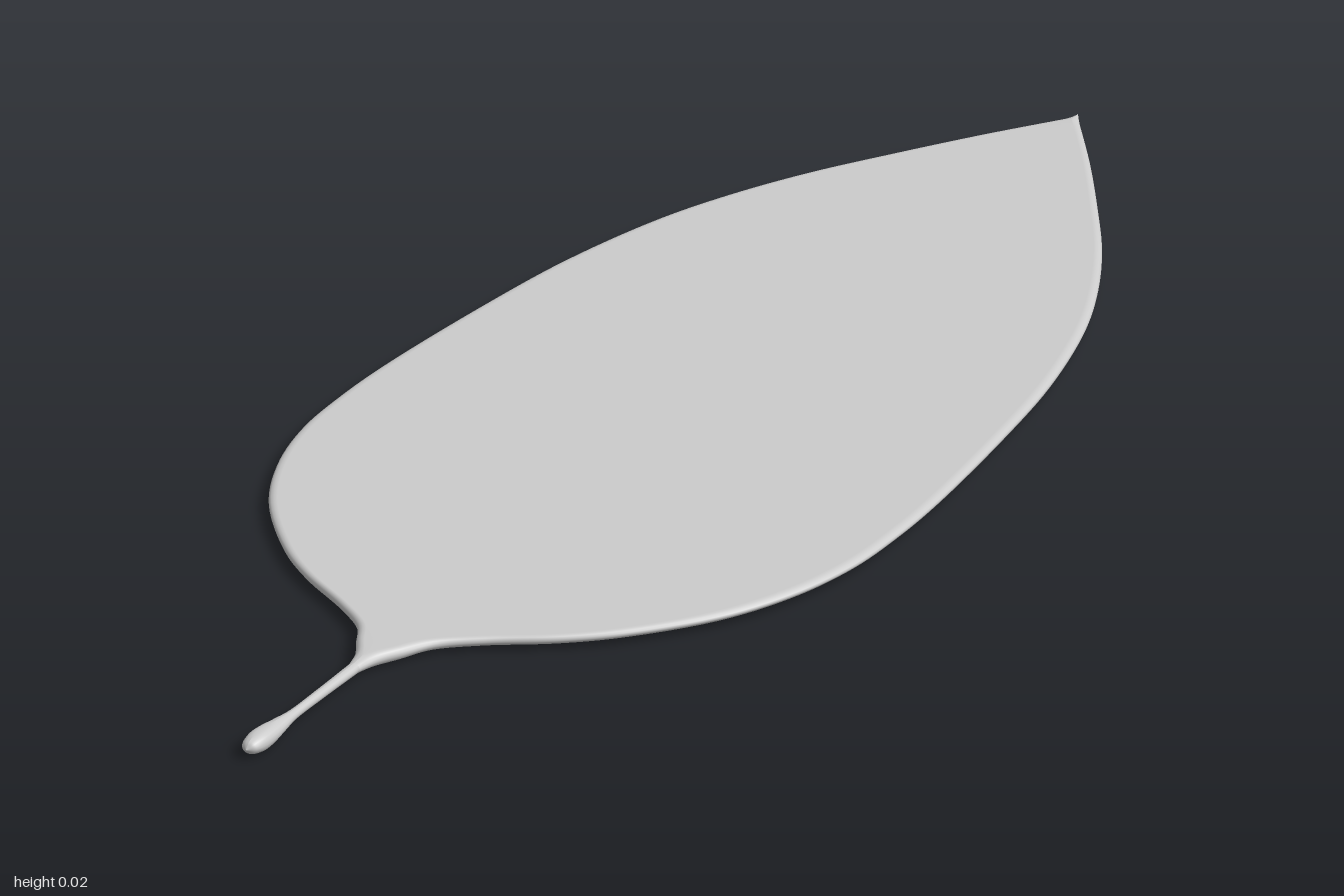
import * as THREE from 'three';

const MID_Y = 0.0125;

// Stations along the leaf: z, half width, half height
const BLADE = [
  [-1, 0, 0.0062], [-0.9, 0.074, 0.0062], [-0.8, 0.142, 0.0062], [-0.7, 0.206, 0.0062],
  [-0.6, 0.258, 0.0062], [-0.5, 0.298, 0.0062], [-0.35, 0.337, 0.0062], [-0.2, 0.36, 0.0062],
  [0, 0.381, 0.0062], [0.1, 0.385, 0.0062], [0.2, 0.381, 0.0062], [0.3, 0.359, 0.0062],
  [0.4, 0.314, 0.0062], [0.5, 0.235, 0.0062], [0.55, 0.178, 0.0062], [0.6, 0.102, 0.0065],
  [0.64, 0.054, 0.0075], [0.68, 0.032, 0.009], [0.71, 0.016, 0.009], [0.74, 0.008, 0.0068],
];
const STALK = [
  [0.74, 0.008, 0.0068], [0.82, 0.0068, 0.0062], [0.89, 0.007, 0.0065], [0.92, 0.011, 0.009],
  [0.95, 0.0145, 0.0115], [0.975, 0.0145, 0.0118], [0.992, 0.01, 0.008], [1, 0, 0],
];

// Lofts flat, round-edged cross-sections along z
function loft(stations, steps) {
  const curve = new THREE.CatmullRomCurve3(stations.map(([z, w, h]) => new THREE.Vector3(w, h, z)));
  const rows = curve.getPoints(steps);
  const arc = 8, ring = 2 * (arc + 1);
  const pos = [], index = [];
  rows.forEach(({ x, y, z }, i) => {
    const w = Math.max(x, 0), h = Math.max(y, 0);
    const edge = Math.min(w, Math.max(h, 0.012));
    for (let j = 0; j < ring; j++) {
      const side = j <= arc ? 1 : -1;
      const a = -Math.PI / 2 + Math.PI * (j <= arc ? j : j - 1) / arc;
      pos.push(side * (w - edge) + edge * Math.cos(a), MID_Y + h * Math.sin(a), z);
      if (i === rows.length - 1) continue;
      const k = (j + 1) % ring, p = i * ring, q = p + ring;
      index.push(p + j, p + k, q + j, p + k, q + k, q + j);
    }
  });
  const geo = new THREE.BufferGeometry();
  geo.setAttribute('position', new THREE.Float32BufferAttribute(pos, 3));
  geo.setIndex(index);
  geo.computeVertexNormals();
  return geo;
}

export function createModel() {
  const group = new THREE.Group();
  group.name = 'leaf';
  const material = new THREE.MeshStandardMaterial({ color: 0xcccccc });
  const add = (name, geometry) => {
    const mesh = new THREE.Mesh(geometry, material);
    mesh.name = name;
    group.add(mesh);
  };
  add('blade', loft(BLADE, 120));
  add('stalk', loft(STALK, 48));
  return group;
}
